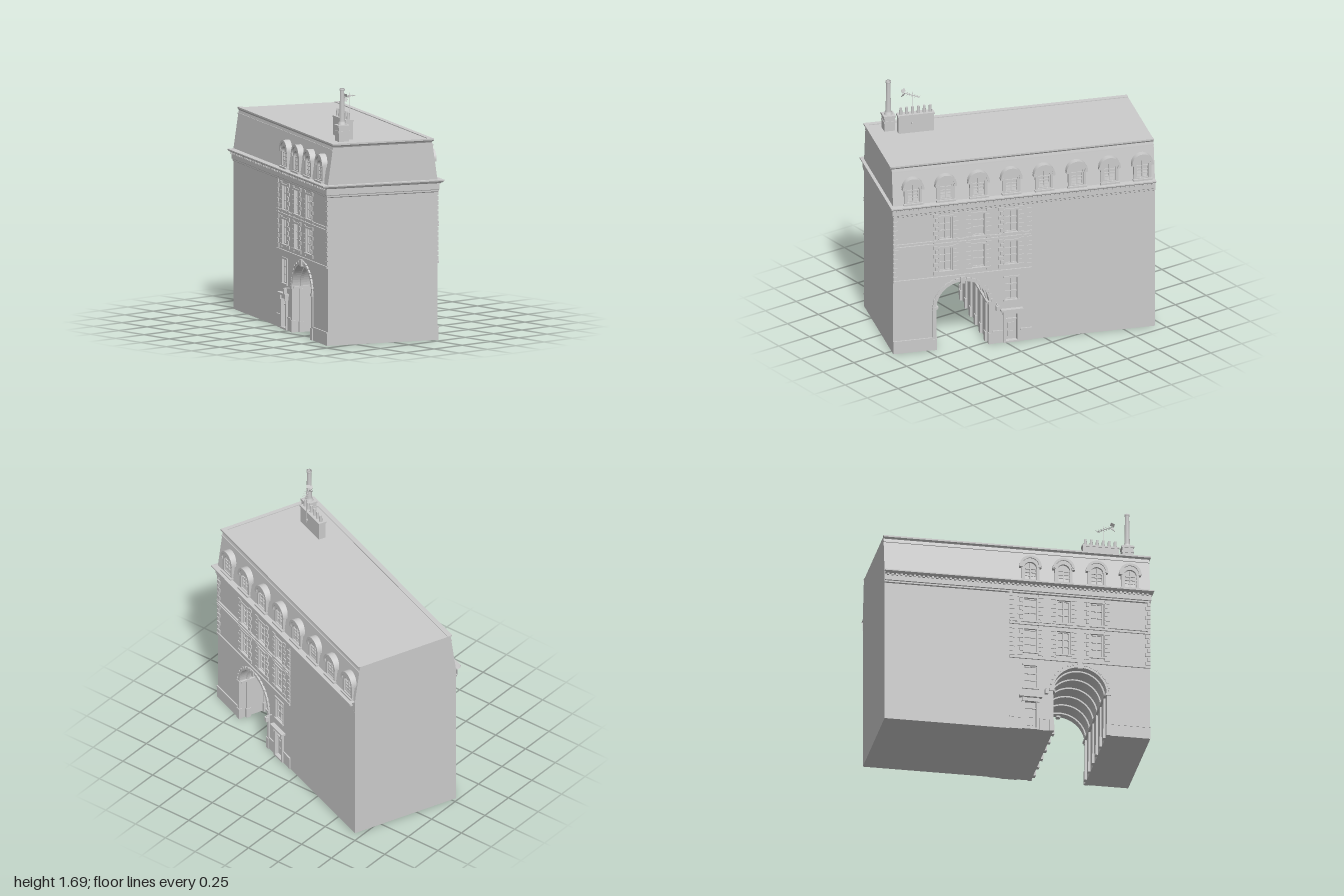
import * as THREE from 'three';
import { mergeGeometries } from 'three/addons/utils/BufferGeometryUtils.js';

const mat = new THREE.MeshStandardMaterial({ color: 0xcccccc });
const matDouble = new THREE.MeshStandardMaterial({ color: 0xcccccc, side: THREE.DoubleSide });

// Building frame: x across the block, z along it
const W = 0.386, CORE = 0.368, FRONT = 0.88, BACK = -0.902;
const WALL_TOP = 1.065, ROOF = 1.34, ROOF_W = 0.344;
const ARCH = { z: 0.408, r: 0.18, spring: 0.297 };
const BAYS = [0.745, 0.522, 0.299, 0.076, -0.147, -0.37, -0.593, -0.816];
const WINDOWS = [0.522, 0.299, 0.076].flatMap(z => [
  { z, y0: 0.565, y1: 0.73, w: 0.088 }, { z, y0: 0.795, y1: 0.955, w: 0.088 }]);
WINDOWS.push({ z: 0.076, y0: 0.305, y1: 0.465, w: 0.09 });
const DOOR = { z: 0.076, y0: 0.012, y1: 0.205, w: 0.075 };

function add(parent, name, geo, material = mat) {
  const m = new THREE.Mesh(geo, material);
  m.name = name;
  parent.add(m);
  return m;
}
function box(parent, name, w, h, d, x, y, z) {
  const m = add(parent, name, new THREE.BoxGeometry(w, h, d));
  m.position.set(x, y, z);
  return m;
}
function group(parent, name) {
  const g = new THREE.Group();
  g.name = name;
  parent.add(g);
  return g;
}
// Extrude a shape drawn in (-z, y) across the block from xa to xb
function slab(parent, name, shape, xa, xb) {
  const x0 = Math.min(xa, xb);
  const geo = new THREE.ExtrudeGeometry(shape, { depth: Math.abs(xb - xa), bevelEnabled: false, curveSegments: 16 });
  geo.rotateY(Math.PI / 2).translate(x0, 0, 0);
  return add(parent, name, geo);
}
const rectPath = (P, z, y0, y1, w) => new P([[-w, y0], [w, y0], [w, y1], [-w, y1]]
  .map(([a, y]) => new THREE.Vector2(a / 2 - z, y)));
function archPath(P, z, y0, spring, r) {
  const p = new P();
  p.moveTo(-z - r, y0).lineTo(-z + r, y0).lineTo(-z + r, spring);
  p.absarc(-z, spring, r, 0, Math.PI, false);
  p.closePath();
  return p;
}
function ringShape(z, y, r0, r1) {
  const s = new THREE.Shape();
  s.absarc(-z, y, r1, 0, Math.PI, false);
  s.absarc(-z, y, r0, Math.PI, 0, true);
  s.closePath();
  return s;
}
// Block elevation with the carriage arch cut from its base
function elevation() {
  const s = new THREE.Shape();
  s.moveTo(-FRONT, 0).lineTo(-ARCH.z - ARCH.r, 0).lineTo(-ARCH.z - ARCH.r, ARCH.spring);
  s.absarc(-ARCH.z, ARCH.spring, ARCH.r, Math.PI, 0, true);
  s.lineTo(-ARCH.z + ARCH.r, 0).lineTo(-BACK, 0).lineTo(-BACK, WALL_TOP).lineTo(-FRONT, WALL_TOP);
  s.closePath();
  return s;
}
// Moulding swept around both long sides and the front end; profile is [outset, y] going up
function moulding(parent, name, halfWidth, profile, frontScale) {
  const pos = [], idx = [], n = profile.length;
  const path = [[1, 0], [1, 1], [-1, 1], [-1, 0]];
  for (let k = 0; k < 3; k++) {
    const base = pos.length / 3;
    for (const [sx, f] of [path[k], path[k + 1]])
      for (const [d, y] of profile) pos.push(sx * (halfWidth + d), y, f ? FRONT + d * frontScale : BACK);
    for (let i = 0; i < n - 1; i++) {
      const a = base + i, b = a + n;
      idx.push(a, a + 1, b, a + 1, b + 1, b);
    }
  }
  const geo = new THREE.BufferGeometry();
  geo.setAttribute('position', new THREE.Float32BufferAttribute(pos, 3));
  geo.setIndex(idx);
  const flat = geo.toNonIndexed();
  flat.computeVertexNormals();
  add(parent, name, flat, matDouble);
}

function sash(parent, s, x, { z, y0, y1, w }) {
  const h = y1 - y0, yc = (y0 + y1) / 2;
  for (const k of [-1, 0, 1]) box(parent, 'sashStile', 0.01, h, 0.007, s * x, yc, z + k * (w / 2 - 0.004));
  for (const k of [0, 0.36, 0.68, 1]) box(parent, 'sashRail', 0.009, 0.006, w, s * x, y0 + 0.003 + k * (h - 0.006), z);
}

function dormer(parent, s, z) {
  const g = group(parent, 'dormer');
  const spring = 1.188;
  const face = archPath(THREE.Shape, z, 1.075, spring, 0.06);
  face.holes.push(archPath(THREE.Path, z, 1.09, 1.175, 0.042));
  slab(g, 'dormerFrame', face, s * 0.375, s * 0.394);
  slab(g, 'dormerBody', archPath(THREE.Shape, z, 1.07, spring, 0.06), s * 0.3, s * 0.376);
  slab(g, 'dormerHood', ringShape(z, spring, 0.056, 0.073), s * 0.3, s * 0.403);
  box(g, 'dormerSill', 0.03, 0.012, 0.13, s * 0.392, 1.078, z);
  for (const k of [-1, 1]) box(g, 'hoodFoot', 0.09, 0.014, 0.022, s * 0.356, 1.186, z + k * 0.063);
  sash(g, s, 0.38, { z, y0: 1.09, y1: 1.175, w: 0.084 });
  box(g, 'archMullion', 0.01, 0.045, 0.007, s * 0.38, 1.192, z);
}

function facade(parent, s) {
  const g = group(parent, s > 0 ? 'leftFacade' : 'rightFacade');
  // Wall skin with window and door openings
  const wall = elevation();
  for (const o of [...WINDOWS, DOOR]) wall.holes.push(rectPath(THREE.Path, o.z, o.y0, o.y1, o.w));
  slab(g, 'wallSkin', wall, s * CORE, s * W);

  for (const o of WINDOWS) {
    const { z, y0, y1, w } = o;
    sash(g, s, 0.373, o);
    box(g, 'windowSill', 0.02, 0.01, w + 0.02, s * W, y0 - 0.005, z);
    box(g, 'windowHead', 0.014, 0.012, w + 0.02, s * W, y1 + 0.006, z);
    for (const k of [-1, 1]) {
      box(g, 'architrave', 0.012, y1 - y0, 0.008, s * W, (y0 + y1) / 2, z + k * (w / 2 + 0.004));
      if (y0 < 0.5) continue;
      for (let i = 0; i < 7; i++) {
        const d = i % 2 ? 0.02 : 0.034;
        box(g, 'windowQuoin', 0.014, 0.024, d, s * W, y0 - 0.012 + i * 0.031, z + k * (w / 2 + 0.008 + d / 2));
      }
    }
  }
  // Quoins at both ends of the dressed bays
  for (const [end, dir] of [[FRONT, -1], [-0.064, 1]])
    for (let i = 0; i < 14; i++) {
      const d = i % 2 ? 0.02 : 0.034;
      box(g, 'cornerQuoin', 0.014, 0.025, d, s * W, 0.545 + i * 0.0325 + (i > 6 ? 0.01 : 0), end + dir * d / 2);
    }
  // String courses and plinth
  for (const [y, h] of [[0.52, 0.014], [0.765, 0.01], [0.785, 0.01]])
    box(g, 'stringCourse', 0.02, h, 0.944, s * W, y, 0.408);
  for (const [za, zb] of [[0.612, FRONT], [0.135, 0.204], [-0.064, 0.017]]) {
    box(g, 'plinth', 0.014, 0.08, zb - za, s * W, 0.04, (za + zb) / 2);
    box(g, 'plinthCap', 0.02, 0.01, zb - za, s * W, 0.085, (za + zb) / 2);
  }
  // Carriage arch surround
  slab(g, 'archRing', ringShape(ARCH.z, ARCH.spring, ARCH.r, 0.2), s * (W - 0.005), s * (W + 0.008));
  for (let i = 0; i < 17; i++) {
    const a = Math.PI * (i + 0.5) / 17;
    const v = box(g, 'voussoir', 0.012, 0.012, 0.026, s * (W + 0.006), ARCH.spring + 0.2 * Math.sin(a), ARCH.z + 0.2 * Math.cos(a));
    v.rotation.x = Math.PI / 2 - a;
  }
  box(g, 'keystone', 0.034, 0.045, 0.028, s * W, 0.488, ARCH.z);
  for (const k of [-1, 1]) {
    box(g, 'archPier', 0.016, 0.29, 0.024, s * W, 0.145, ARCH.z + k * 0.192);
    box(g, 'archPierCap', 0.03, 0.018, 0.034, s * W, 0.3, ARCH.z + k * 0.19);
    box(g, 'archPierBase', 0.026, 0.08, 0.032, s * W, 0.04, ARCH.z + k * 0.191);
  }
  // Doorway with hood
  box(g, 'doorStep', 0.03, 0.012, 0.11, s * W, 0.006, DOOR.z);
  box(g, 'doorLeaf', 0.008, 0.14, 0.066, s * 0.371, 0.085, DOOR.z);
  for (const y of [0.055, 0.115]) box(g, 'doorPanel', 0.006, 0.04, 0.042, s * 0.377, y, DOOR.z);
  box(g, 'doorTransom', 0.014, 0.008, 0.075, s * 0.374, 0.16, DOOR.z);
  for (const k of [-1, 1]) {
    box(g, 'doorPilaster', 0.028, 0.205, 0.018, s * W, 0.1025, DOOR.z + k * 0.048);
    box(g, 'doorBracket', 0.044, 0.03, 0.016, s * W, 0.212, DOOR.z + k * 0.05);
  }
  box(g, 'doorFrieze', 0.024, 0.025, 0.12, s * W, 0.216, DOOR.z);
  box(g, 'doorHood', 0.06, 0.014, 0.15, s * W, 0.236, DOOR.z);
  // Wall lantern
  box(g, 'lanternArm', 0.045, 0.006, 0.006, s * (W + 0.02), 0.29, 0.178);
  box(g, 'lantern', 0.022, 0.034, 0.022, s * (W + 0.04), 0.268, 0.178);

  for (const z of s > 0 ? BAYS : BAYS.slice(0, 4)) dormer(g, s, z);
}

function passage(parent) {
  const g = group(parent, 'passage');
  for (let i = 0; i < 6; i++) {
    const x = -0.33 + i * 0.132;
    slab(g, 'vaultRib', ringShape(ARCH.z, ARCH.spring, 0.17, 0.183), x - 0.01, x + 0.01);
    for (const k of [-1, 1]) {
      box(g, 'pilaster', 0.024, 0.29, 0.014, x, 0.145, ARCH.z + k * 0.175);
      box(g, 'pilasterBase', 0.036, 0.07, 0.02, x, 0.035, ARCH.z + k * 0.173);
    }
  }
  for (const k of [-1, 1]) box(g, 'springCornice', 2 * W, 0.014, 0.02, 0, 0.3, ARCH.z + k * 0.174);
}

function chimneys(parent) {
  const tall = group(parent, 'tallChimney');
  tall.position.set(-0.238, ROOF, 0.753);
  box(tall, 'base', 0.072, 0.1, 0.072, 0, 0.05, 0);
  box(tall, 'lowerBand', 0.08, 0.012, 0.08, 0, 0.065, 0);
  box(tall, 'cap', 0.082, 0.014, 0.082, 0, 0.102, 0);
  const profile = [[0.03, 0.105], [0.024, 0.125], [0.019, 0.135], [0.014, 0.335], [0.018, 0.338], [0.018, 0.35], [0.011, 0.35], [0.011, 0.3], [0, 0.3]];
  add(tall, 'flue', new THREE.LatheGeometry(profile.map(p => new THREE.Vector2(...p)), 12), matDouble);

  const row = group(parent, 'chimneyStack');
  row.position.set(-0.169, ROOF, 0.586);
  box(row, 'stack', 0.05, 0.125, 0.24, 0, 0.0625, 0);
  box(row, 'stackCap', 0.058, 0.012, 0.25, 0, 0.124, 0);
  for (let i = 0; i < 6; i++) {
    const pot = add(row, 'chimneyPot', new THREE.CylinderGeometry(0.009, 0.012, 0.05, 10));
    pot.position.set(0, 0.153, -0.1 + i * 0.04);
  }
  // Aerial strapped to the stack
  const aerial = group(row, 'aerial');
  aerial.position.set(0.032, 0, 0.03);
  box(aerial, 'mast', 0.004, 0.25, 0.004, 0, 0.175, 0);
  box(aerial, 'mastBracket', 0.016, 0.012, 0.01, -0.004, 0.07, 0);
  const head = group(aerial, 'aerialHead');
  head.position.y = 0.275;
  head.rotation.y = 0.75;
  box(head, 'boom', 0.13, 0.004, 0.004, -0.01, 0, 0);
  for (let i = 0; i < 6; i++) box(head, 'element', 0.002, 0.002, 0.045, 0.05 - i * 0.02, 0, 0);
  for (const k of [-1, 1]) box(head, 'reflector', 0.003, 0.022, 0.04, -0.07, k * 0.015, 0).rotation.z = k * 0.5;
}

export function createModel() {
  const model = new THREE.Group();
  model.name = 'townhouse';
  const b = group(model, 'building');
  b.rotation.y = -0.372;

  slab(b, 'wallCore', elevation(), -CORE, CORE);
  for (const s of [1, -1]) facade(b, s);
  passage(b);

  // Mansard roof with straight gable ends
  const mansard = new THREE.Shape([[-W, WALL_TOP], [W, WALL_TOP], [0.352, 1.3], [ROOF_W, ROOF], [-ROOF_W, ROOF], [-0.352, 1.3]]
    .map(p => new THREE.Vector2(...p)));
  add(b, 'mansardRoof', new THREE.ExtrudeGeometry(mansard, { depth: FRONT - BACK, bevelEnabled: false }).translate(0, 0, BACK));

  moulding(b, 'cornice', W, [[0, 0.985], [0.008, 0.99], [0.008, 1.0], [0.013, 1.004], [0.013, 1.045], [0.028, 1.05], [0.041, 1.06], [0.041, 1.068], [0, 1.07]], 0.5);
  moulding(b, 'roofLip', ROOF_W, [[0, 1.318], [0.006, 1.326], [0.014, 1.334], [0.014, 1.345], [-0.02, 1.345], [-0.02, ROOF]], 0.8);
  for (const s of [1, -1]) {
    const rail = box(b, 'mansardRail', 0.012, 0.01, FRONT - BACK, s * 0.352, 1.3, (FRONT + BACK) / 2);
    rail.rotation.z = s * 0.14;
  }

  // Dentils under the cornice
  const dentils = [];
  for (let z = BACK + 0.02; z < FRONT; z += 0.03)
    for (const s of [1, -1]) dentils.push(new THREE.BoxGeometry(0.016, 0.012, 0.014).translate(s * (W + 0.018), 1.042, z));
  add(b, 'dentils', mergeGeometries(dentils));

  chimneys(b);
  return model;
}
